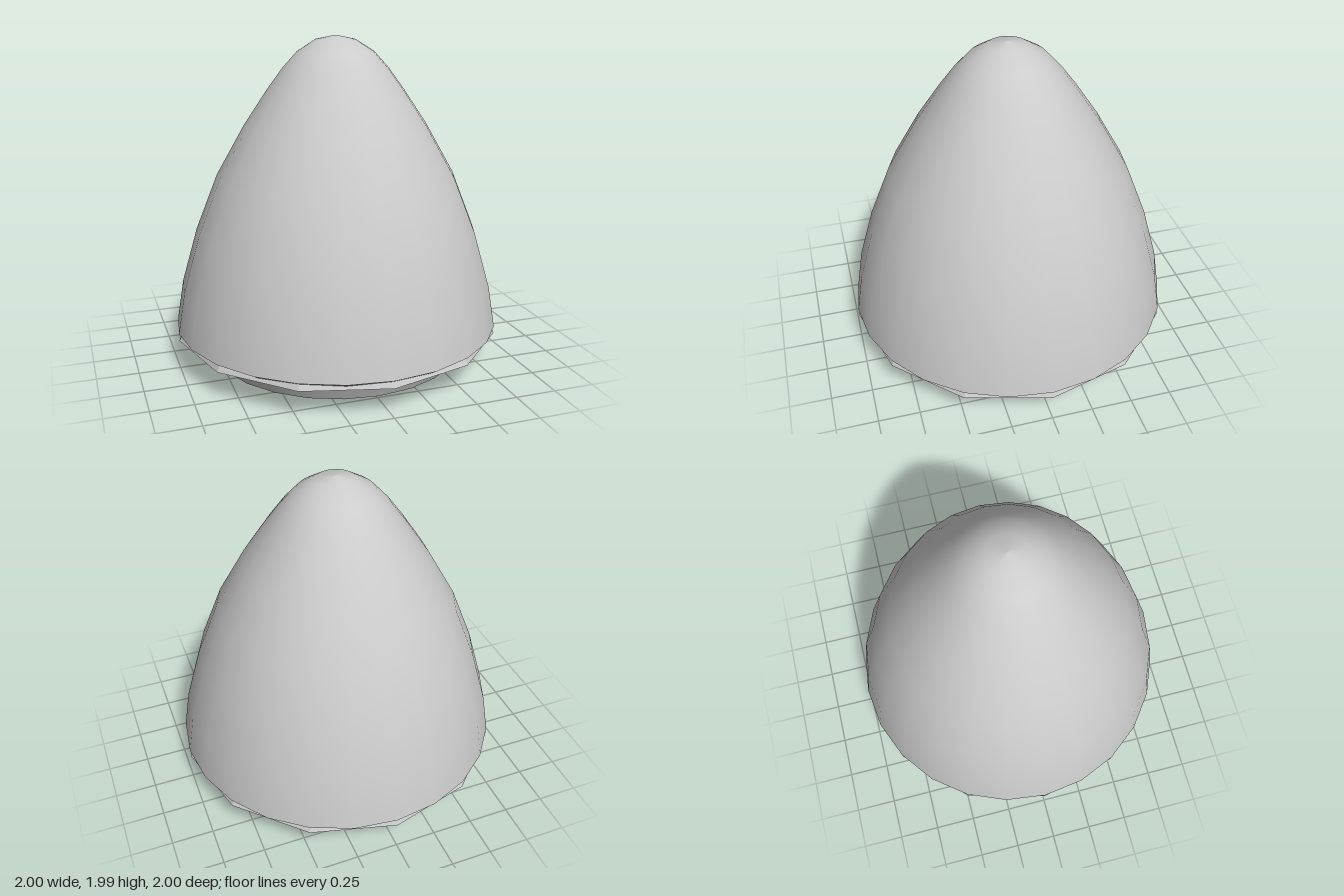
import * as THREE from 'three';

export function createModel() {
  const group = new THREE.Group();
  const smooth = new THREE.MeshStandardMaterial({ color: 0xcccccc });
  const flat = new THREE.MeshStandardMaterial({ color: 0xcccccc, flatShading: true });

  // Profiles run from the bottom upwards as [radius, height]
  const turn = (name, profile, sides, material = smooth) => {
    const points = profile.map(([r, y]) => new THREE.Vector2(r, y));
    const mesh = new THREE.Mesh(new THREE.LatheGeometry(points, sides), material);
    mesh.name = name;
    group.add(mesh);
  };

  // Rounded nose cone
  turn('noseCone', [
    [1, 0.22], [0.957, 0.475], [0.86, 0.81], [0.725, 1.15], [0.555, 1.45],
    [0.415, 1.66], [0.32, 1.79], [0.23, 1.89], [0.12, 1.96], [0, 1.985],
  ], 24);

  // Chamfer under the cone's rim
  turn('rimUnderside', [[0.93, 0.176], [1, 0.22]], 24);

  // Twelve-sided flared collar with a flat underside
  turn('collar', [[0.84, 0.175], [1, 0.175], [0.978, 0.225]], 12, flat);

  // Tapered plug and its slightly domed bottom
  turn('plugSide', [[0.78, 0.025], [0.86, 0.19]], 24);
  turn('plugBottom', [[0, 0], [0.78, 0.025]], 24);

  return group;
}
